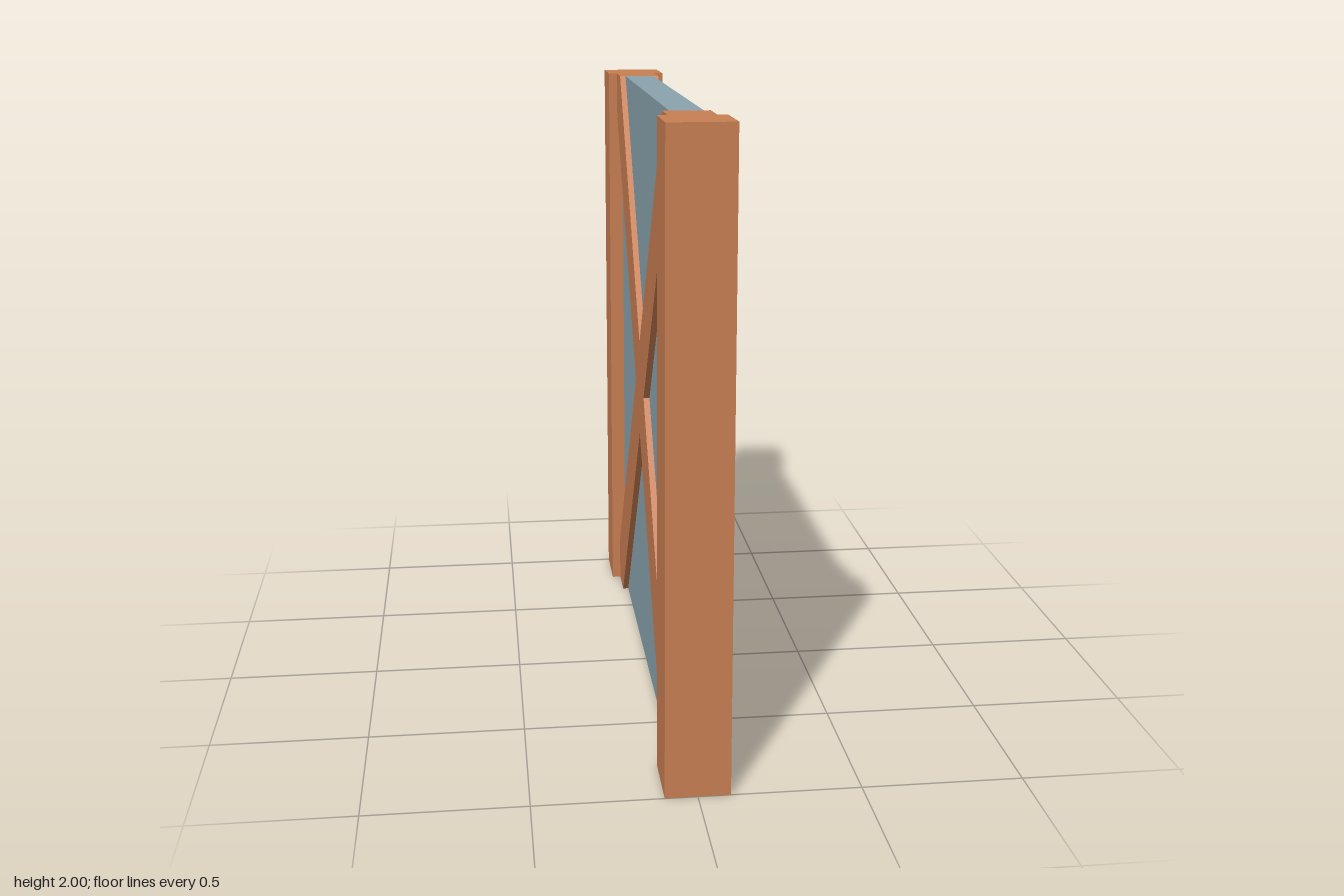
import * as THREE from 'three';

const timber = new THREE.MeshStandardMaterial({ color: 0xc87e53, flatShading: true });
const plaster = new THREE.MeshStandardMaterial({ color: 0x8aa3ae, flatShading: true });

// Outline drawn in the wall plane (along z, up y), extruded symmetrically across x
function slab(name, points, thickness, material) {
  const shape = new THREE.Shape(points.map(([u, v]) => new THREE.Vector2(u, v)));
  const geometry = new THREE.ExtrudeGeometry(shape, { depth: thickness, bevelEnabled: false });
  geometry.translate(0, 0, -thickness / 2);
  geometry.rotateY(Math.PI / 2);
  const mesh = new THREE.Mesh(geometry, material);
  mesh.name = name;
  return mesh;
}

export function createModel() {
  const wall = new THREE.Group();
  wall.name = 'timberWall';

  const inner = 0.8; // inner face of the posts
  const foot = 0.672; // where a brace edge meets the top or bottom
  const side = 0.16; // where a brace edge meets a post
  const waist = 0.128; // half width of the crossing

  // Posts at both ends
  for (const s of [1, -1]) {
    const post = new THREE.Mesh(new THREE.BoxGeometry(0.2, 2, 0.2), timber);
    post.name = s > 0 ? 'frontPost' : 'backPost';
    post.position.set(0, 1, s * 0.9);
    wall.add(post);
  }

  // Crossed braces, running through the wall
  wall.add(slab('crossBrace', [
    [-inner, 0], [-foot, 0], [0, 1 - side], [foot, 0], [inner, 0], [inner, side],
    [waist, 1], [inner, 2 - side], [inner, 2], [foot, 2], [0, 1 + side],
    [-foot, 2], [-inner, 2], [-inner, 2 - side], [-waist, 1], [-inner, side],
  ], 0.14, timber));

  // Four infill panels between the braces
  wall.add(slab('lowerPanel', [[-foot, 0], [foot, 0], [0, 1 - side]], 0.1, plaster));
  wall.add(slab('upperPanel', [[foot, 2], [-foot, 2], [0, 1 + side]], 0.1, plaster));
  for (const s of [1, -1]) {
    wall.add(slab(s > 0 ? 'backPanel' : 'frontPanel',
      [[s * inner, side], [s * inner, 2 - side], [s * waist, 1]], 0.1, plaster));
  }
  return wall;
}
